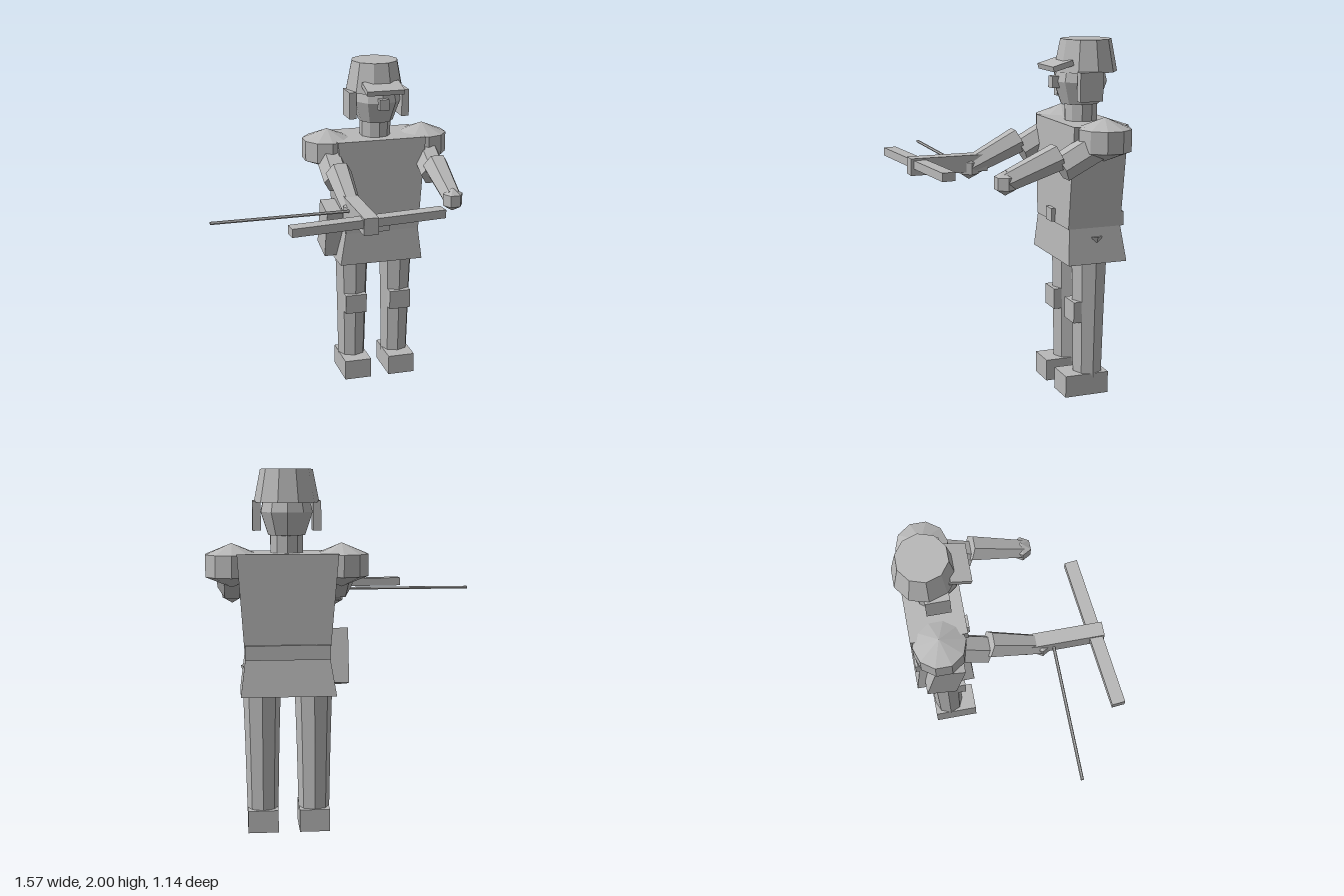
import * as THREE from 'three';

const UP = new THREE.Vector3(0, 1, 0);
const grey = new THREE.MeshStandardMaterial({ color: 0xb8b8b8, flatShading: true });
grey.name = 'plain grey';

export function createModel() {
  const model = new THREE.Group();
  model.name = 'crossbowman';
  const cx = 0.34, cz = -0.38; // body axis

  const add = (name, geo, x = 0, y = 0, z = 0) => {
    const m = new THREE.Mesh(geo, grey);
    m.name = name;
    m.position.set(x, y, z);
    model.add(m);
    return m;
  };

  // Box given by its limits on each axis
  const block = (name, [x0, x1], [y0, y1], [z0, z1]) =>
    add(name, new THREE.BoxGeometry(x1 - x0, y1 - y0, z1 - z0),
      (x0 + x1) / 2, (y0 + y1) / 2, (z0 + z1) / 2);

  // Box whose bottom and top rectangles differ: [x0, x1, z0, z1]
  const taperedBox = (name, y0, bottom, y1, top) => {
    const geo = new THREE.BoxGeometry(1, 1, 1);
    const p = geo.attributes.position;
    for (let i = 0; i < p.count; i++) {
      const up = p.getY(i) > 0, r = up ? top : bottom;
      p.setXYZ(i, p.getX(i) < 0 ? r[0] : r[1], up ? y1 : y0, p.getZ(i) < 0 ? r[2] : r[3]);
    }
    geo.computeVertexNormals();
    return add(name, geo);
  };

  // Tapered prism between two points
  const limb = (name, from, to, r0, r1, sides, turn = 0) => {
    const a = new THREE.Vector3(...from), b = new THREE.Vector3(...to);
    const dir = b.clone().sub(a);
    const geo = new THREE.CylinderGeometry(r1, r0, dir.length(), sides, 1, false, turn);
    const m = add(name, geo, ...a.add(b).multiplyScalar(0.5).toArray());
    m.quaternion.setFromUnitVectors(UP, dir.normalize());
    return m;
  };

  // Torso, belt and skirt
  taperedBox('torso', 0.98, [0.116, 0.574, -0.527, -0.215], 1.55, [0.067, 0.613, -0.545, -0.225]);
  taperedBox('skirt', 0.78, [0.08, 0.6, -0.558, -0.21], 0.98, [0.114, 0.574, -0.527, -0.22]);
  block('belt', [0.112, 0.574], [0.98, 1.06], [-0.547, -0.22]);
  block('buckle', [0.3, 0.383], [0.985, 1.06], [-0.25, -0.193]);

  // Neck, head and helmet
  limb('neck', [cx, 1.5, cz], [cx, 1.66, cz], 0.093, 0.093, 10);
  const profile = [[0, 1.635], [0.11, 1.645], [0.155, 1.77], [0.14, 1.83], [0, 1.85]]
    .map(([r, y]) => new THREE.Vector2(r, y));
  add('head', new THREE.LatheGeometry(profile, 10), cx, 0, -0.372).scale.x = 0.95;
  limb('helmet', [cx, 1.822, -0.405], [cx, 2, -0.405], 0.177, 0.142, 10, Math.PI / 2);
  add('visor', new THREE.BoxGeometry(0.227, 0.03, 0.12), cx, 1.862, -0.225).rotation.x = 0.28;
  block('nose', [0.312, 0.37], [1.735, 1.8], [-0.25, -0.195]);

  for (const side of [-1, 1]) {
    const label = side < 0 ? 'right' : 'left';

    // Ear flap
    add(label + 'EarFlap', new THREE.BoxGeometry(0.045, 0.16, 0.135), cx + side * 0.163, 1.75, -0.363);

    // Shoulder pad: faceted ball with points to the front and back
    const pad = new THREE.SphereGeometry(0.172, 10, 3, Math.PI / 2);
    pad.scale(1, 0.7, 1);
    add(label + 'ShoulderPad', pad, cx + side * 0.3, 1.482, -0.389);

    // Arm
    const ax = cx + side * 0.3, wristY = side < 0 ? 1.265 : 1.287;
    limb(label + 'UpperArm', [ax, 1.47, -0.38], [ax, 1.34, -0.135], 0.085, 0.082, 6, Math.PI / 2);
    limb(label + 'Forearm', [ax, 1.405, -0.12], [ax, wristY, 0.175], 0.078, 0.058, 6, Math.PI / 2);
    add(label + 'Hand', new THREE.SphereGeometry(0.068, 6, 3), ax, wristY - 0.005, 0.18);

    // Leg, knee guard and boot
    const lx = cx + side * 0.143;
    limb(label + 'Thigh', [lx, 0.5, cz], [lx, 0.85, cz], 0.095, 0.106, 8);
    limb(label + 'Shin', [lx, 0.1, cz], [lx, 0.5, cz], 0.086, 0.095, 8);
    block(label + 'KneeGuard', [lx - 0.067, lx + 0.067], [0.43, 0.55], [-0.36, -0.265]);
    block(label + 'Boot', [lx - 0.084, lx + 0.084], [0, 0.125], [-0.475, -0.215]);
  }

  // Hip gear: leaning quiver on the right, sheath point on the left
  add('quiver', new THREE.BoxGeometry(0.11, 0.3, 0.18), 0.065, 0.973, -0.385).rotation.x = 0.22;
  limb('sheath', [0.553, 0.8, -0.383], [0.553, 0.93, -0.383], 0.001, 0.044, 8);

  // Crossbow held in the right hand
  block('crossbowStock', [0, 0.083], [1.24, 1.337], [0.08, 0.535]);
  add('crossbowLimb', new THREE.BoxGeometry(0.895, 0.048, 0.074), 0.04, 1.302, 0.484).rotation.y = 0.098;
  limb('crossbowBolt', [-0.785, 1.287, 0.245], [0.04, 1.287, 0.245], 0.009, 0.009, 6);

  return model;
}
